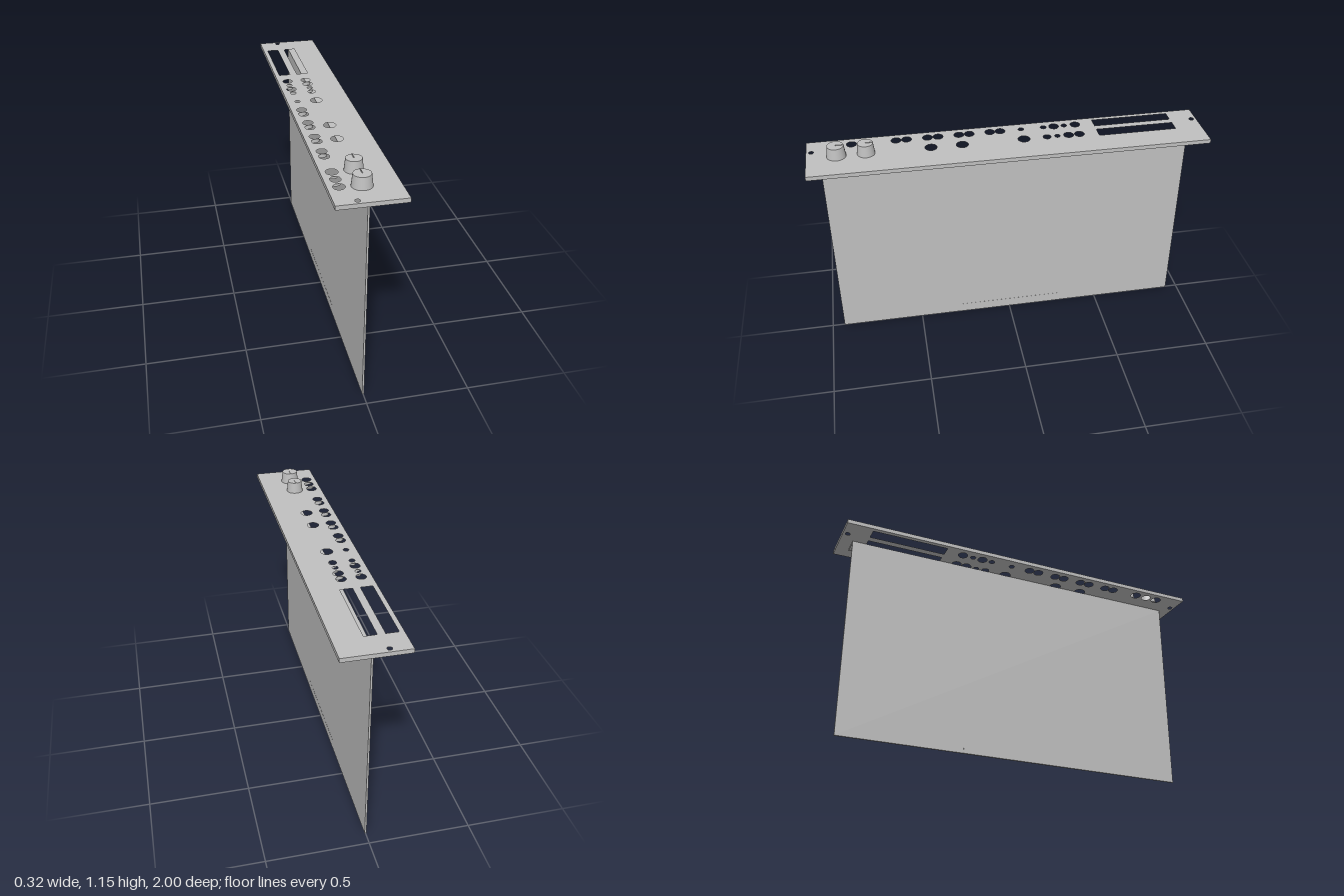
import * as THREE from 'three';

const grey = new THREE.MeshStandardMaterial({ color: 0xc0c0c0 });
grey.name = 'plain grey';

const PANEL_BOTTOM = 1.066, PANEL_TOP = 1.087;

function add(group, name, geometry, x = 0, y = 0, z = 0) {
  const mesh = new THREE.Mesh(geometry, grey);
  mesh.name = name;
  mesh.position.set(x, y, z);
  group.add(mesh);
  return mesh;
}

// Box given by its limits on each axis
function addBox(group, name, [x0, x1], [y0, y1], [z0, z1]) {
  return add(group, name, new THREE.BoxGeometry(x1 - x0, y1 - y0, z1 - z0),
    (x0 + x1) / 2, (y0 + y1) / 2, (z0 + z1) / 2);
}

// Rectangle outline in plan; shape y is -z
function rectangle(path, x0, x1, z0, z1) {
  path.moveTo(x0, -z0);
  path.lineTo(x1, -z0);
  path.lineTo(x1, -z1);
  path.lineTo(x0, -z1);
  path.closePath();
  return path;
}

function makePanel() {
  const shape = rectangle(new THREE.Shape(), -0.16, 0.16, -1, 1);
  const hole = (x, z, r) =>
    shape.holes.push(new THREE.Path().absarc(x, -z, r, 0, Math.PI * 2, true));

  // Slider slots
  for (const [x0, x1] of [[-0.137, -0.077], [-0.04, 0.021]])
    shape.holes.push(rectangle(new THREE.Path(), x0, x1, -0.862, -0.46));

  // Left column: sockets, buttons and lamps as [z, radius]
  const leftColumn = [
    [-0.363, 0.025], [-0.305, 0.014], [-0.251, 0.025], [-0.196, 0.015], [-0.079, 0.014],
    [0.029, 0.025], [0.082, 0.025], [0.187, 0.025], [0.24, 0.025], [0.346, 0.025],
    [0.399, 0.025], [0.504, 0.025], [0.557, 0.025],
    [0.709, 0.028], [0.778, 0.025], [0.846, 0.027],
  ];
  for (const [z, r] of leftColumn) hole(-0.108, z, r);

  // Middle column
  const middleColumn = [
    [-0.363, 0.025], [-0.307, 0.025], [-0.249, 0.014], [-0.196, 0.02],
    [-0.077, 0.03], [0.235, 0.03], [0.391, 0.03],
  ];
  for (const [z, r] of middleColumn) hole(-0.01, z, r);

  // Mounting screw holes
  for (const z of [-0.975, 0.975]) hole(-0.06, z, 0.012);

  const geometry = new THREE.ExtrudeGeometry(shape, {
    depth: PANEL_TOP - PANEL_BOTTOM, bevelEnabled: false, curveSegments: 24,
  });
  return geometry.rotateX(-Math.PI / 2);
}

// Tapered knob with a raised pointer line towards the rear
function addKnob(group, z, rTop, rBottom) {
  const knob = new THREE.Group();
  knob.name = 'knob';
  knob.position.set(-0.01, PANEL_TOP, z);
  add(knob, 'knobBody', new THREE.CylinderGeometry(rTop, rBottom, 0.058, 40), 0, 0.029, 0);
  addBox(knob, 'knobPointer', [-0.002, 0.002], [0.056, 0.061], [-rTop, 0]);
  group.add(knob);
}

export function createModel() {
  const model = new THREE.Group();
  model.name = 'frontPanelModule';

  add(model, 'frontPanel', makePanel(), 0, PANEL_BOTTOM, 0);

  // Upright circuit board and the flange below the panel
  addBox(model, 'circuitBoard', [-0.0045, 0.0045], [0, PANEL_BOTTOM], [-0.935, 0.935]);
  addBox(model, 'mountingFlange', [-0.0045, 0.08], [1.058, PANEL_BOTTOM], [-0.935, 0.935]);

  // Edge contact strips on both faces of the board
  for (const side of [-1, 1])
    add(model, 'edgeContact', new THREE.BoxGeometry(0.001, 0.052, 0.58), side * 0.0046, 0.026, 0);

  addKnob(model, 0.709, 0.038, 0.044);
  addKnob(model, 0.853, 0.041, 0.048);

  return model;
}
